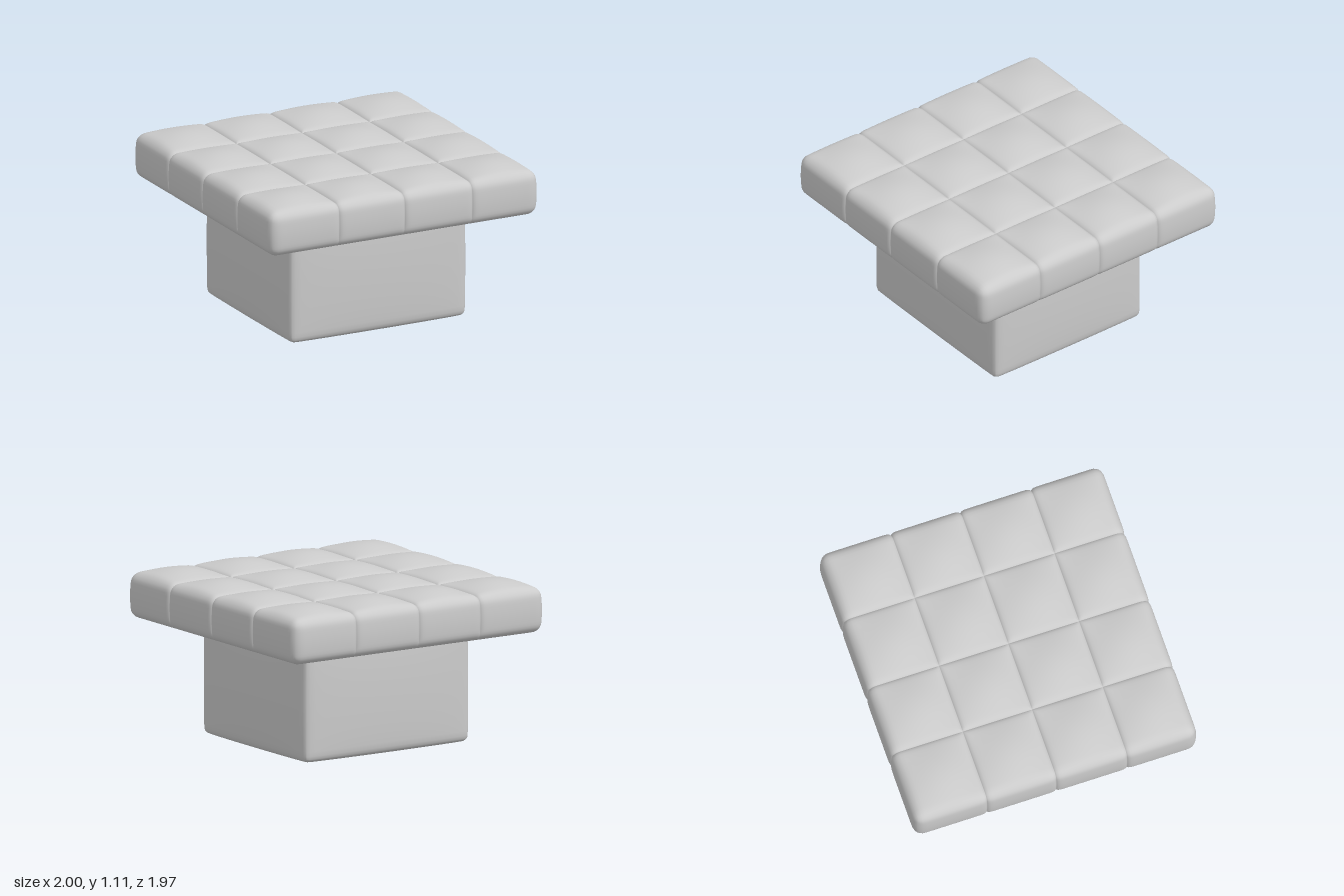
import * as THREE from 'three';
import { mergeVertices } from 'three/addons/utils/BufferGeometryUtils.js';

const material = new THREE.MeshStandardMaterial({ color: 0xcccccc });
const STEPS = 20;

// Grid coordinates between stops, packed densely beside each stop
function spacing(stops) {
  const out = [stops[0]];
  for (let k = 1; k < stops.length; k++) {
    for (let i = 1; i <= STEPS; i++) {
      const t = (1 - Math.cos((Math.PI * i) / STEPS)) / 2;
      out.push(THREE.MathUtils.lerp(stops[k - 1], stops[k], t));
    }
  }
  return out;
}

// Box with rounded edges; rule(p, n) then moves each point p with outward direction n
function softBlock(name, xs, ys, zs, radius, rule) {
  const axes = [xs, ys, zs].map(spacing);
  const geo = new THREE.BoxGeometry(2, 2, 2, ...axes.map((a) => a.length - 1));
  const pos = geo.attributes.position;
  const lo = new THREE.Vector3(...axes.map((a) => a[0] + radius));
  const hi = new THREE.Vector3(...axes.map((a) => a[a.length - 1] - radius));
  const p = new THREE.Vector3();
  const n = new THREE.Vector3();
  const core = new THREE.Vector3();
  for (let i = 0; i < pos.count; i++) {
    p.fromBufferAttribute(pos, i);
    p.set(...p.toArray().map((v, k) => axes[k][Math.round(((v + 1) / 2) * (axes[k].length - 1))]));
    core.copy(p).clamp(lo, hi);
    n.subVectors(p, core).normalize();
    p.copy(core).addScaledVector(n, radius);
    rule(p, n);
    pos.setXYZ(i, p.x, p.y, p.z);
  }
  geo.deleteAttribute('uv');
  geo.deleteAttribute('normal');
  const smooth = mergeVertices(geo, 1e-5);
  smooth.computeVertexNormals();
  const mesh = new THREE.Mesh(smooth, material);
  mesh.name = name;
  return mesh;
}

// Swell of one tuft across an axis: 0 at the seams, 1 midway
function tuft(v, stops) {
  for (let k = 1; k < stops.length; k++) {
    if (v <= stops[k]) {
      const t = (v - stops[k - 1]) / (stops[k] - stops[k - 1]);
      return Math.sin(Math.PI * THREE.MathUtils.clamp(t, 0, 1));
    }
  }
  return 0;
}

// Narrow crease at the inner seams
function crease(v, stops) {
  const d = Math.min(...stops.slice(1, -1).map((s) => Math.abs(v - s)));
  return Math.exp(-d / 0.011);
}

export function createModel() {
  const group = new THREE.Group();
  group.name = 'tuftedOttoman';

  // Seat cushion of four by four tufts
  const xs = [-0.985, -0.485, 0, 0.5, 0.985];
  const zs = [-0.97, -0.48, 0, 0.49, 0.97];
  group.add(softBlock('tuftedCushion', xs, [0.77, 1.075], zs, 0.06, (p, n) => {
    const swell = tuft(p.x, xs) * tuft(p.z, zs);
    const seam = Math.max(crease(p.x, xs), crease(p.z, zs));
    const belly = 0.015 * (1 - ((p.y - 0.92) / 0.155) ** 2);
    p.x += n.x * belly;
    p.z += n.z * belly;
    if (n.y > 0) p.y += n.y * 0.038 * swell;
    const depth = 0.016 * seam * Math.min(1, 1 + n.y);
    p.addScaledVector(n, -depth);
  }));

  // Upholstered base with gently bulging faces
  const hx = 0.65, hz = 0.605, hy = 0.38, cy = 0.4;
  group.add(softBlock('base', [-hx, hx], [cy - hy, cy + hy], [-hz, hz], 0.04, (p, n) => {
    const fx = 1 - (p.x / hx) ** 2;
    const fy = 1 - ((p.y - cy) / hy) ** 2;
    const fz = 1 - (p.z / hz) ** 2;
    p.x += n.x * 0.025 * Math.sqrt(Math.max(0, fy * fz));
    p.z += n.z * 0.022 * Math.sqrt(Math.max(0, fx * fy));
    if (n.y < 0) p.y += n.y * 0.02 * Math.sqrt(Math.max(0, fx * fz));
  }));

  return group;
}
